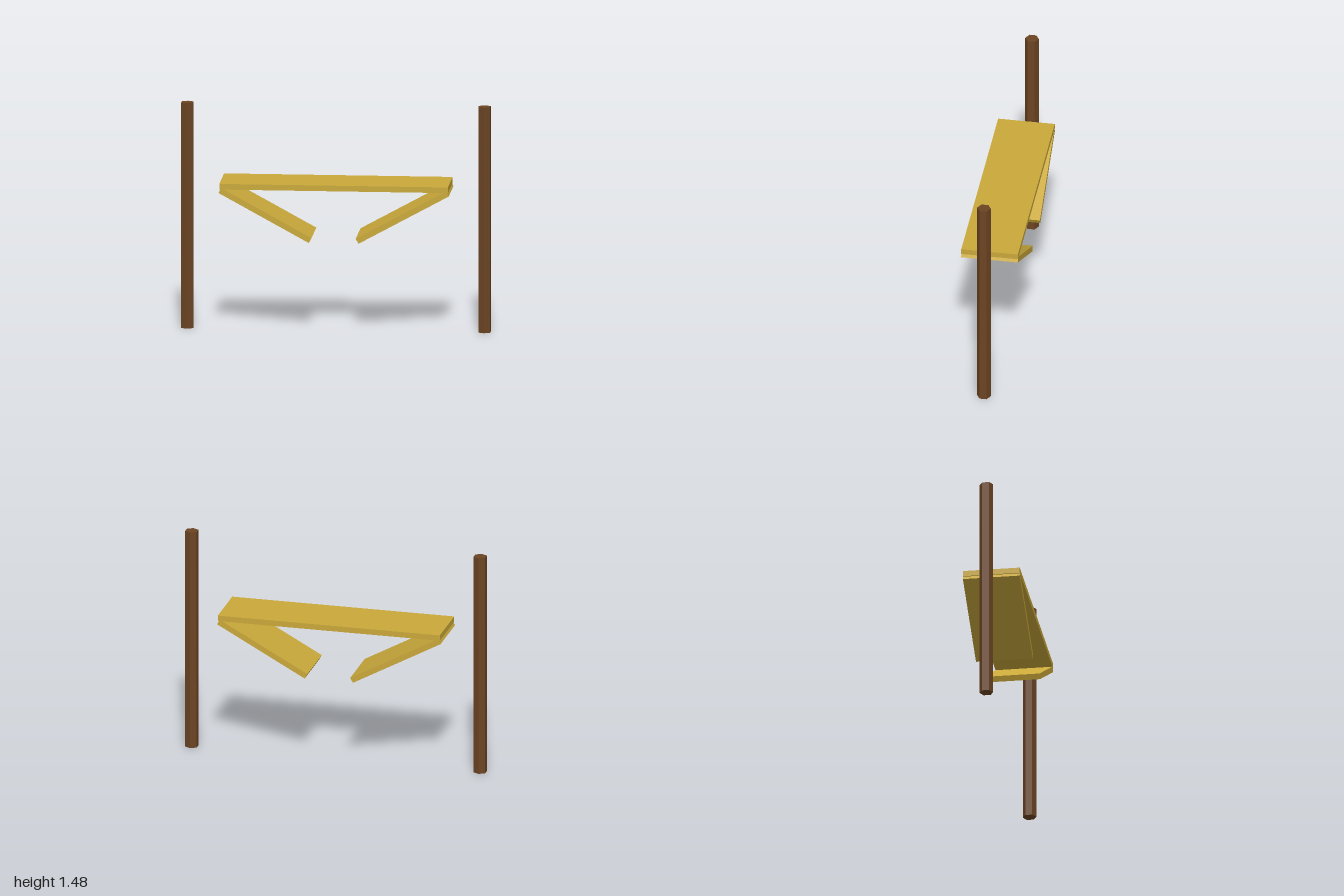
import * as THREE from 'three';

export function createModel() {
  const model = new THREE.Group();
  const wood = new THREE.MeshStandardMaterial({ color: 0x6b4423 });
  wood.name = 'brown wood';
  wood.flatShading = true;
  const plank = new THREE.MeshStandardMaterial({ color: 0xc9a83a });
  plank.name = 'golden plank';

  const add = (name, geometry, material, x, y, tilt = 0) => {
    const mesh = new THREE.Mesh(geometry, material);
    mesh.name = name;
    mesh.position.set(x, y, 0);
    mesh.rotation.z = tilt;
    model.add(mesh);
  };

  // Horizontal board
  add('topBoard', new THREE.BoxGeometry(1.48, 0.037, 0.37), plank, 0, 0.9616);

  // Hexagonal posts and sloping boards, mirrored left and right
  const postGeometry = new THREE.CylinderGeometry(0.0444, 0.0444, 1.48, 6);
  const slopeGeometry = new THREE.BoxGeometry(0.666, 0.037, 0.37);
  for (const [side, s] of [['left', 1], ['right', -1]]) {
    add(side + 'Post', postGeometry, wood, s * 0.9616, 0.74);
    add(side + 'SlopingBoard', slopeGeometry, plank, s * 0.444, 0.777, s * 0.5);
  }
  return model;
}
